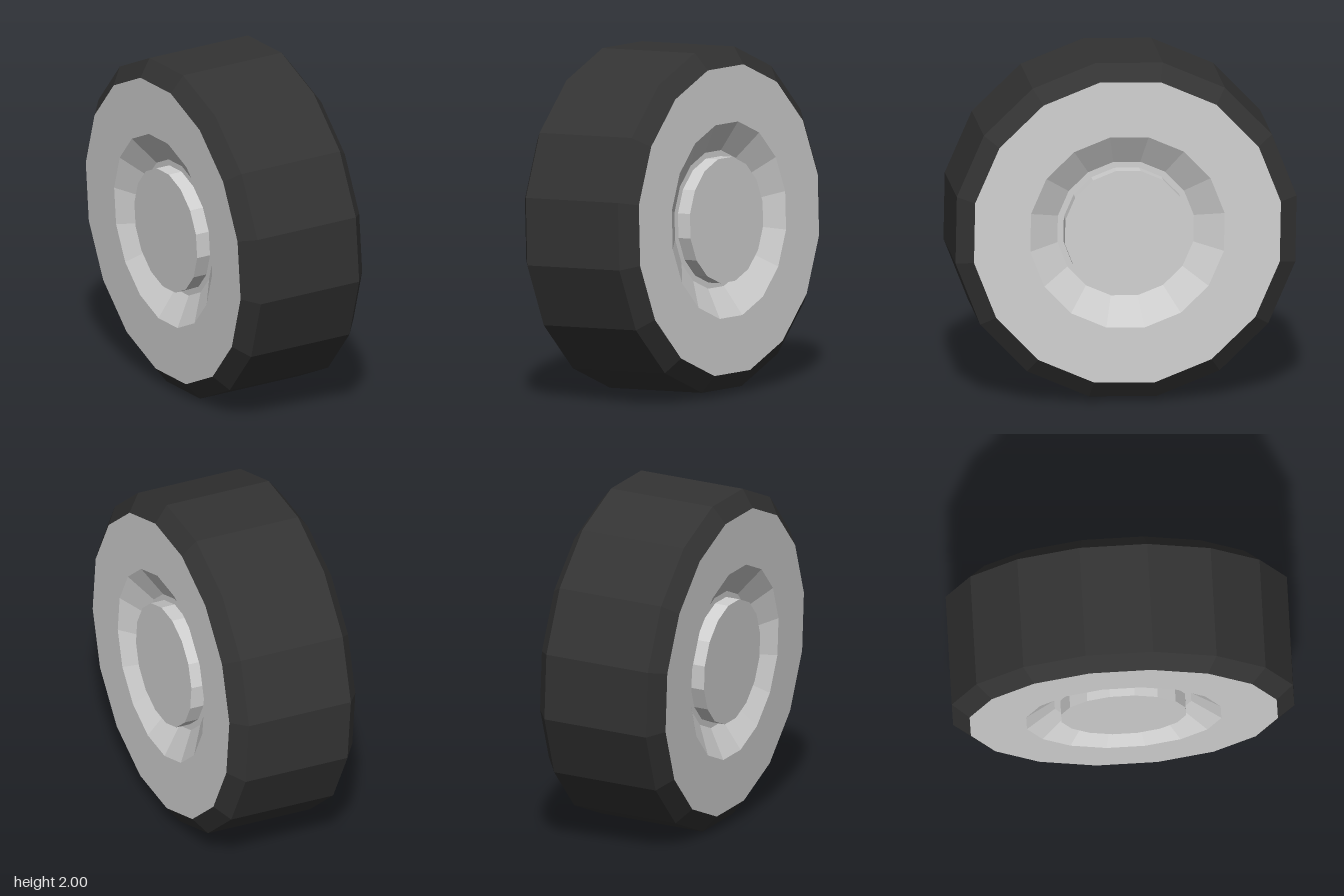
import * as THREE from 'three';

const SIDES = 16;
const deg = THREE.MathUtils.degToRad;

// Faceted ring or disc turned around the x axis; profile points are [radius, x], listed toward +x
function turned(name, profile, material) {
  const points = profile.map(([r, x]) => new THREE.Vector2(r, x));
  const geometry = new THREE.LatheGeometry(points, SIDES, deg(-80.1)).rotateZ(-Math.PI / 2);
  const mesh = new THREE.Mesh(geometry, material);
  mesh.name = name;
  return mesh;
}

export function createModel() {
  const rubber = new THREE.MeshStandardMaterial({ color: 0x333333, flatShading: true });
  rubber.name = 'darkRubber';
  const metal = new THREE.MeshStandardMaterial({ color: 0xcfcfcf, flatShading: true });
  metal.name = 'lightMetal';

  const wheel = new THREE.Group();
  wheel.name = 'wheel';

  // Tyre with chamfered shoulders
  wheel.add(turned('tyre', [[0.9, -0.402], [1, -0.325], [1, 0.325], [0.9, 0.402]], rubber));

  // Rim and hub cap on each side; the profile is flipped for the -x side
  for (const side of [1, -1]) {
    const half = (profile) => {
      const points = profile.map(([r, x]) => [r, side * x]);
      return side > 0 ? points : points.reverse();
    };
    const label = side > 0 ? 'left' : 'right';
    // Flat face, sloping recess and narrow floor around the hub
    wheel.add(turned(label + 'Rim', half([[0.9, 0.402], [0.57, 0.402], [0.4, 0.3], [0.36, 0.3]]), metal));
    // Raised hub cap, slightly inset from the rim face
    wheel.add(turned(label + 'Hub', half([[0.365, 0.3], [0.365, 0.385], [0, 0.385]]), metal));
  }

  // Slight camber and toe of the axle
  wheel.rotation.set(0, deg(1), deg(2.5));
  wheel.position.y = 1;

  const model = new THREE.Group();
  model.name = 'model';
  model.add(wheel);
  return model;
}
